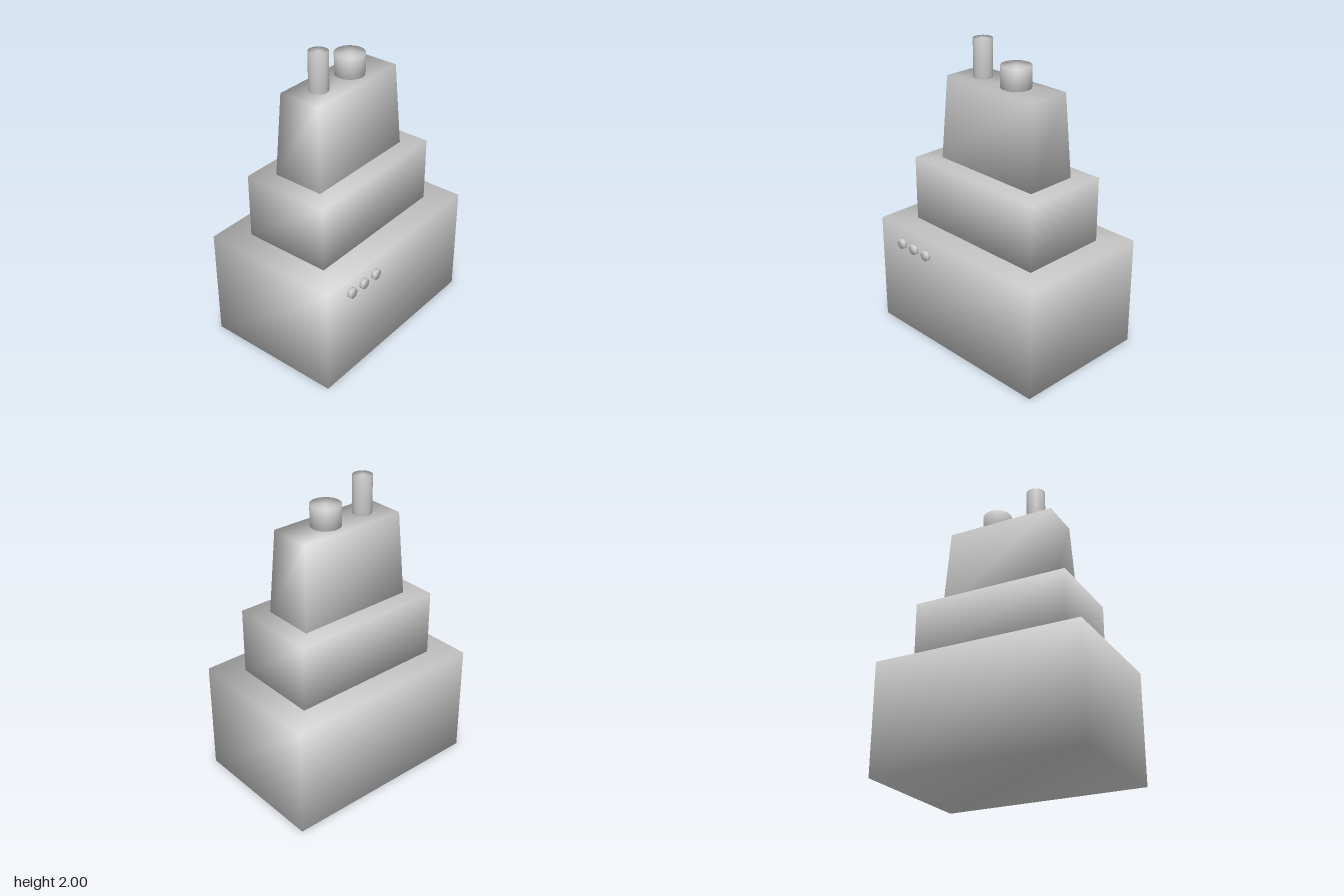
import * as THREE from 'three';
import { mergeVertices } from 'three/addons/utils/BufferGeometryUtils.js';

const material = new THREE.MeshStandardMaterial({ color: 0xcccccc });

// Weld all corners so normals are averaged across the edges
function soften(geometry) {
  geometry.deleteAttribute('uv');
  geometry.deleteAttribute('normal');
  const welded = mergeVertices(geometry, 1e-4);
  welded.computeVertexNormals();
  return welded;
}

// Box standing on y0, with its top inset by the same amount on all sides
function tier(name, width, depth, y0, y1, z, inset = 0) {
  const geometry = new THREE.BoxGeometry(width, y1 - y0, depth);
  const p = geometry.attributes.position;
  for (let i = 0; i < p.count; i++) {
    if (p.getY(i) > 0) {
      p.setX(i, p.getX(i) - Math.sign(p.getX(i)) * inset);
      p.setZ(i, p.getZ(i) - Math.sign(p.getZ(i)) * inset);
    }
  }
  const mesh = new THREE.Mesh(soften(geometry), material);
  mesh.name = name;
  mesh.position.set(0, (y0 + y1) / 2, z);
  return mesh;
}

function cylinder(name, radius, height, segments, x, y, z) {
  const geometry = soften(new THREE.CylinderGeometry(radius, radius, height, segments));
  const mesh = new THREE.Mesh(geometry, material);
  mesh.name = name;
  mesh.position.set(x, y, z);
  return mesh;
}

export function createModel() {
  const model = new THREE.Group();
  model.name = 'steppedTower';

  // Stacked tiers, the upper one tapering
  model.add(
    tier('base', 1.4, 0.946, 0, 0.75, -0.012),
    tier('middleTier', 1.06, 0.604, 0.75, 1.19, -0.012),
    tier('upperTier', 0.81, 0.354, 1.19, 1.75, -0.013, 0.031)
  );

  // Two stacks on the roof
  model.add(
    cylinder('tallStack', 0.063, 0.253, 32, -0.197, 1.8735, -0.013),
    cylinder('wideStack', 0.098, 0.143, 32, 0.097, 1.8185, -0.013)
  );

  // Row of round buttons on the front
  const buttons = new THREE.Group();
  buttons.name = 'buttons';
  [-0.477, -0.358, -0.239].forEach((x, i) => {
    const button = cylinder(`button${i + 1}`, 0.035, 0.03, 16, x, 0.638, 0.47);
    button.rotation.x = Math.PI / 2;
    buttons.add(button);
  });
  model.add(buttons);

  return model;
}
